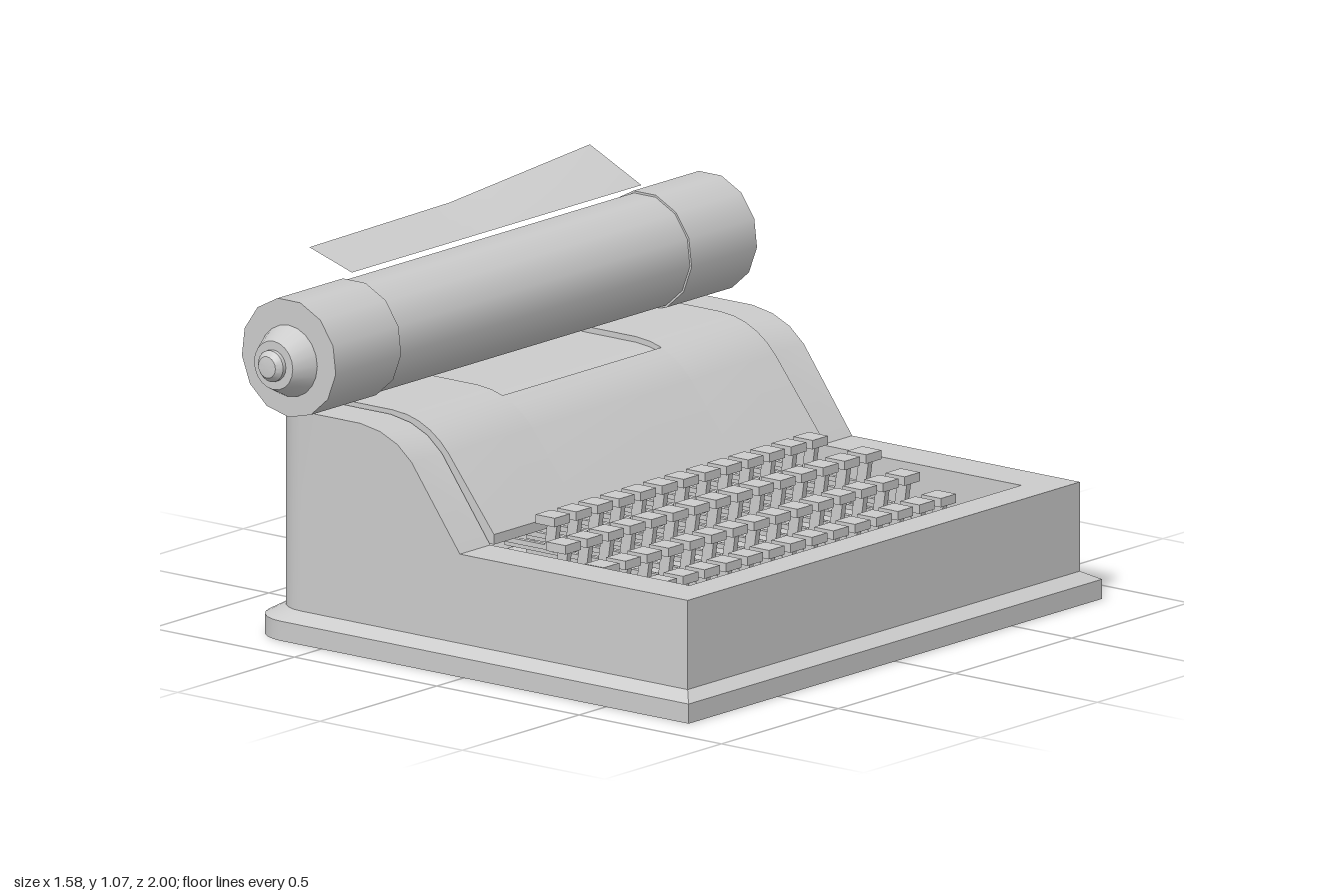
import * as THREE from 'three';
import { toCreasedNormals } from 'three/addons/utils/BufferGeometryUtils.js';

const grey = new THREE.MeshStandardMaterial({ color: 0xcccccc, side: THREE.DoubleSide });

function add(parent, name, geometry, x = 0, y = 0, z = 0) {
  const mesh = new THREE.Mesh(geometry, grey);
  mesh.name = name;
  mesh.position.set(x, y, z);
  parent.add(mesh);
  return mesh;
}

// Side profile of the cheeks: high at the back, sloping to the keyboard deck
const cheek = [[-0.72, 0.64], [-0.4, 0.64], [-0.33, 0.628], [-0.27, 0.602], [-0.22, 0.56], [-0.05, 0.33], [0.75, 0.33]];

function cheekHeight(x) {
  for (let i = 1; i < cheek.length; i++) {
    const [x0, y0] = cheek[i - 1], [x1, y1] = cheek[i];
    if (x <= x1) return THREE.MathUtils.lerp(y0, y1, (x - x0) / (x1 - x0));
  }
  return 0.33;
}

// Open-bottomed shell: flared plinth, walls, deck and key well as rings of one plan outline
function bodyGeometry() {
  const half = cheek.slice(1).reverse().map(([x]) => [x, 0.84]);
  const r = 0.11;
  for (let i = 0; i <= 6; i++) {
    const a = (i / 6) * Math.PI / 2;
    half.push([-0.72 + r - r * Math.sin(a), 0.84 - r + r * Math.cos(a)]);
  }
  const plan = [...half, ...half.map(([x, z]) => [x, -z]).reverse()];
  const clamp = THREE.MathUtils.clamp;
  const flare = 1.054;
  const rings = [
    ([x, z]) => [x * flare, 0, z * flare],
    ([x, z]) => [x * flare, 0.055, z * flare],
    ([x, z]) => [x, 0.08, z],
    ([x, z]) => [x, cheekHeight(x), z],
    ([x, z]) => [clamp(x, -0.69, 0.65), cheekHeight(x), clamp(z, -0.71, 0.71)],
    ([x, z]) => [clamp(x, -0.35, 0.65), 0.18, clamp(z, -0.71, 0.71)],
  ];
  const n = plan.length, position = [], index = [];
  rings.forEach((ring) => plan.forEach((p) => position.push(...ring(p))));
  for (let j = 0; j < rings.length - 1; j++) {
    for (let i = 0; i < n; i++) {
      const k = (i + 1) % n;
      const a = j * n + i, b = j * n + k, c = a + n, d = b + n;
      index.push(a, c, b, b, c, d);
    }
  }
  const g = new THREE.BufferGeometry();
  g.setAttribute('position', new THREE.Float32BufferAttribute(position, 3));
  g.setIndex(index);
  return toCreasedNormals(g, 0.6);
}

// Curved cover sheet over the type basket, one strip between z0 and z1
function hoodGeometry(z0, z1, notched) {
  const top = [[-0.72, 0.65], [-0.4, 0.65], [-0.35, 0.645], [-0.31, 0.634], [-0.27, 0.615],
    [-0.235, 0.59], [-0.205, 0.56], [-0.045, 0.358]];
  const s = new THREE.Shape();
  s.moveTo(-0.72, 0.61);
  top.forEach(([x, y], i) => {
    // shallow recess in the middle strip
    const drop = notched && i < 4 ? 0.016 : 0;
    s.lineTo(x, y - drop);
    if (notched && i === 3) s.lineTo(x, y);
  });
  s.lineTo(-0.045, 0.33);
  s.lineTo(-0.065, 0.33);
  s.lineTo(-0.225, 0.545);
  s.lineTo(-0.28, 0.588);
  s.lineTo(-0.4, 0.61);
  s.closePath();
  const g = new THREE.ExtrudeGeometry(s, { depth: z1 - z0, bevelEnabled: false });
  g.translate(0, 0, z0);
  return toCreasedNormals(g, 0.5);
}

// Sheet whose rear edge lifts toward one end
function paperGeometry() {
  const g = new THREE.PlaneGeometry(1, 1, 10, 4);
  const p = g.attributes.position;
  for (let i = 0; i < p.count; i++) {
    const z = -p.getX(i) * 1.24, v = p.getY(i) + 0.5;
    const lift = Math.max(0, -z / 0.62);
    const backX = -0.775 - 0.016 * (z < 0 ? lift : -z / 0.62);
    const backY = 1.032 + 0.038 * lift;
    p.setXYZ(i, THREE.MathUtils.lerp(-0.61, backX, v), THREE.MathUtils.lerp(0.985, backY, v), z);
  }
  g.computeVertexNormals();
  return g;
}

export function createModel() {
  const model = new THREE.Group();
  model.name = 'typewriter';

  add(model, 'body', bodyGeometry());
  add(model, 'keyWellFloor', new THREE.BoxGeometry(1.0, 0.01, 1.42), 0.15, 0.18, 0);

  const hood = new THREE.Group();
  hood.name = 'hood';
  model.add(hood);
  add(hood, 'hoodSide', hoodGeometry(-0.7, -0.34, false));
  add(hood, 'hoodCentre', hoodGeometry(-0.34, 0.34, true));
  add(hood, 'hoodSide', hoodGeometry(0.34, 0.7, false));

  // Keys: four stepped rows, each key a cap, a stem and a lever running back
  const keys = new THREE.Group();
  keys.name = 'keys';
  model.add(keys);
  const cap = new THREE.BoxGeometry(0.068, 0.025, 0.066);
  const stem = new THREE.BoxGeometry(0.034, 0.085, 0.018);
  const rows = [
    { x: 0.04, y: 0.4, count: 13 },
    { x: 0.153, y: 0.36, count: 15 },
    { x: 0.288, y: 0.32, count: 15 },
    { x: 0.415, y: 0.28, count: 15 },
  ];
  rows.forEach(({ x, y, count }) => {
    const length = x + 0.2;
    const lever = new THREE.BoxGeometry(length, 0.014, 0.014);
    for (let i = 0; i < count; i++) {
      const z = (i - (count - 1) / 2) * 0.092;
      add(keys, 'keyCap', cap, x, y - 0.0125, z);
      add(keys, 'keyStem', stem, x, y - 0.06, z).rotation.z = -0.15;
      add(keys, 'keyLever', lever, x - length / 2, Math.max(y - 0.095, 0.195), z);
    }
  });
  add(model, 'spaceBar', new THREE.BoxGeometry(0.12, 0.07, 1.26), 0.55, 0.215, 0);

  // Carriage: roller with thicker ends and a stepped knob on each side
  const carriage = new THREE.Group();
  carriage.name = 'carriage';
  carriage.position.set(-0.6, 0.803, 0);
  model.add(carriage);
  const roller = (r, length) => new THREE.CylinderGeometry(r, r, length, 13).rotateX(Math.PI / 2);
  add(carriage, 'roller', roller(0.16, 1.26));
  const knobProfile = [[0, 0.88], [0.1, 0.88], [0.1, 0.905], [0.068, 0.968], [0.044, 0.968], [0.044, 0.98], [0.03, 0.996], [0, 1.0]]
    .map(([r, y]) => new THREE.Vector2(r, y));
  for (const side of [1, -1]) {
    add(carriage, 'rollerEnd', roller(0.166, 0.28), 0, 0, side * 0.762);
    const knob = toCreasedNormals(new THREE.LatheGeometry(knobProfile, 20), 0.4);
    add(carriage, 'knob', knob, 0, -0.008, 0).rotation.x = side * Math.PI / 2;
  }

  add(model, 'paper', paperGeometry());
  return model;
}
